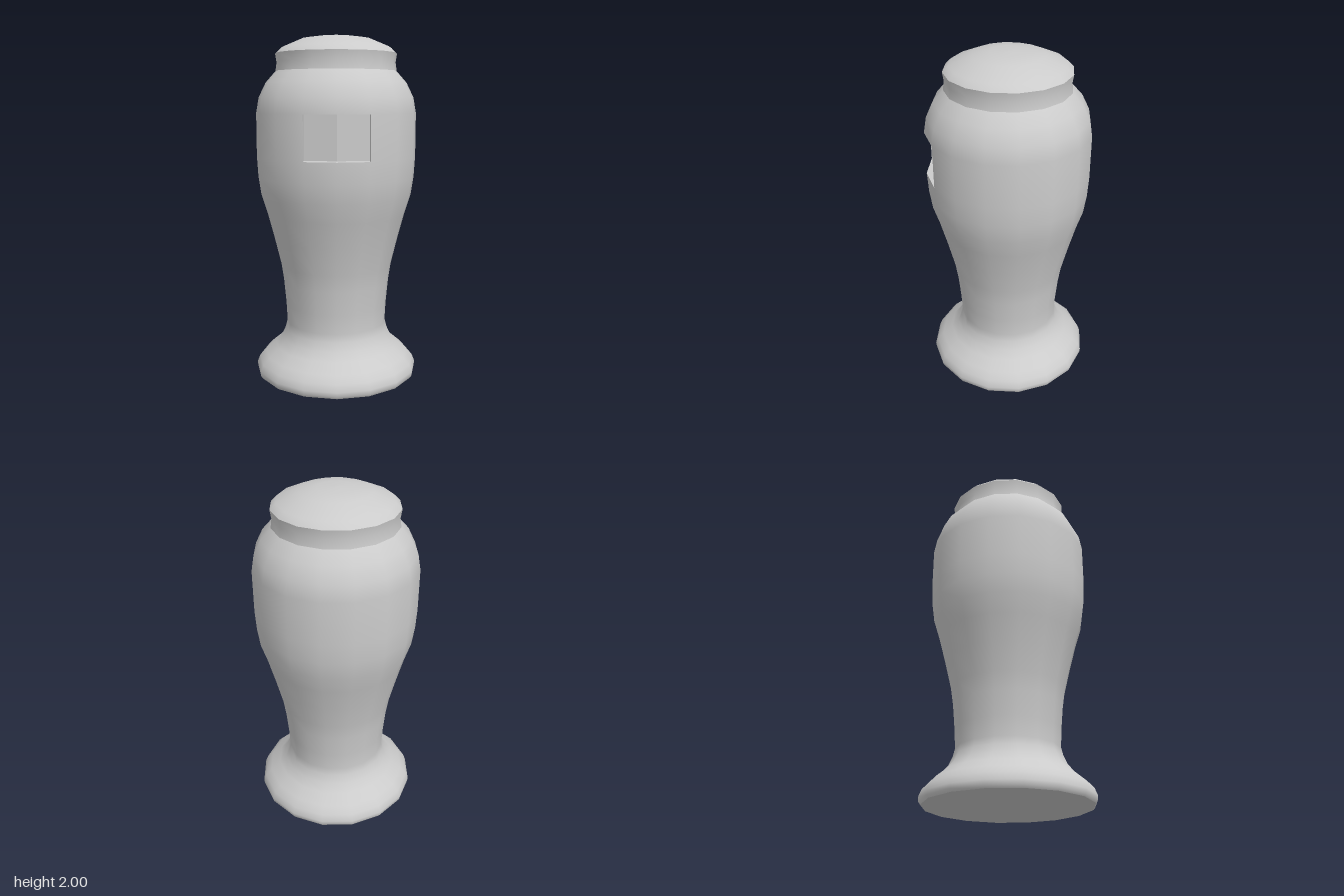
import * as THREE from 'three';

const SIDES = 16;
const material = new THREE.MeshStandardMaterial({ color: 0xcccccc });
const R = 0.468, LOW = 1.31, HIGH = 1.56, DEPTH = 0.08; // body radius at the recess, its height range and depth

// smooth turned surface from a bottom-to-top profile of [radius, y]
function turned(name, profile) {
  const geometry = new THREE.LatheGeometry(profile.map(([r, y]) => new THREE.Vector2(r, y)), SIDES);
  const mesh = new THREE.Mesh(geometry, material);
  mesh.name = name;
  return mesh;
}

// removes the two front faces of one profile row
function cutWindow(geometry, row, rows) {
  const kept = [];
  const index = geometry.index.array;
  for (let s = 0; s < SIDES; s++) {
    for (let j = 0; j < rows; j++) {
      if (j === row && (s === 0 || s === SIDES - 1)) continue;
      const start = (s * rows + j) * 6;
      kept.push(...index.slice(start, start + 6));
    }
  }
  geometry.setIndex(kept);
}

// flat-shaded walls and back of the front recess
function recessGeometry() {
  const positions = [];
  const quad = (a, b, c, d) => [a, b, c, a, c, d].forEach((p) => positions.push(...p));
  const point = (i, y, inset) => {
    const angle = (i * 2 * Math.PI) / SIDES;
    return [R * Math.sin(angle), y, R * Math.cos(angle) - inset];
  };
  for (const i of [-1, 0]) {
    const k = i + 1;
    quad(point(i, LOW, DEPTH), point(k, LOW, DEPTH), point(k, HIGH, DEPTH), point(i, HIGH, DEPTH)); // back
    quad(point(i, LOW, 0), point(k, LOW, 0), point(k, LOW, DEPTH), point(i, LOW, DEPTH)); // sill
    quad(point(i, HIGH, DEPTH), point(k, HIGH, DEPTH), point(k, HIGH, 0), point(i, HIGH, 0)); // top
  }
  quad(point(-1, LOW, 0), point(-1, LOW, DEPTH), point(-1, HIGH, DEPTH), point(-1, HIGH, 0));
  quad(point(1, LOW, DEPTH), point(1, LOW, 0), point(1, HIGH, 0), point(1, HIGH, DEPTH));
  const geometry = new THREE.BufferGeometry();
  geometry.setAttribute('position', new THREE.Float32BufferAttribute(positions, 3));
  geometry.computeVertexNormals();
  return geometry;
}

export function createModel() {
  const model = new THREE.Group();
  model.name = 'tapHandle';

  // flared foot, waist and swelling body
  const profile = [
    [0.472, 0], [0.482, 0.015], [0.484, 0.04], [0.468, 0.08], [0.43, 0.12], [0.37, 0.17],
    [0.33, 0.215], [0.308, 0.265], [0.297, 0.31], [0.303, 0.42], [0.316, 0.56], [0.331, 0.66],
    [0.37, 0.82], [0.41, 0.97], [0.445, 1.08], [0.461, 1.19], [R, LOW], [R, HIGH],
    [0.452, 1.65], [0.41, 1.735], [0.352, 1.8],
  ];
  const body = turned('body', profile);
  cutWindow(body.geometry, profile.findIndex(([, y]) => y === LOW), profile.length - 1);
  model.add(body);

  const recess = new THREE.Mesh(recessGeometry(), material);
  recess.name = 'frontRecess';
  model.add(recess);

  model.add(turned('base', [[0, 0], [0.472, 0]]));
  // the base disc faces down
  const base = model.getObjectByName('base');
  base.geometry.dispose();
  base.geometry = new THREE.CircleGeometry(0.472, SIDES).rotateX(Math.PI / 2);

  model.add(turned('neck', [[0.352, 1.8], [0.345, 1.85], [0.353, 1.9]]));
  model.add(turned('domedTop', [[0.353, 1.9], [0.32, 1.932], [0.2, 1.983], [0.1, 1.997], [0, 2]]));
  return model;
}
